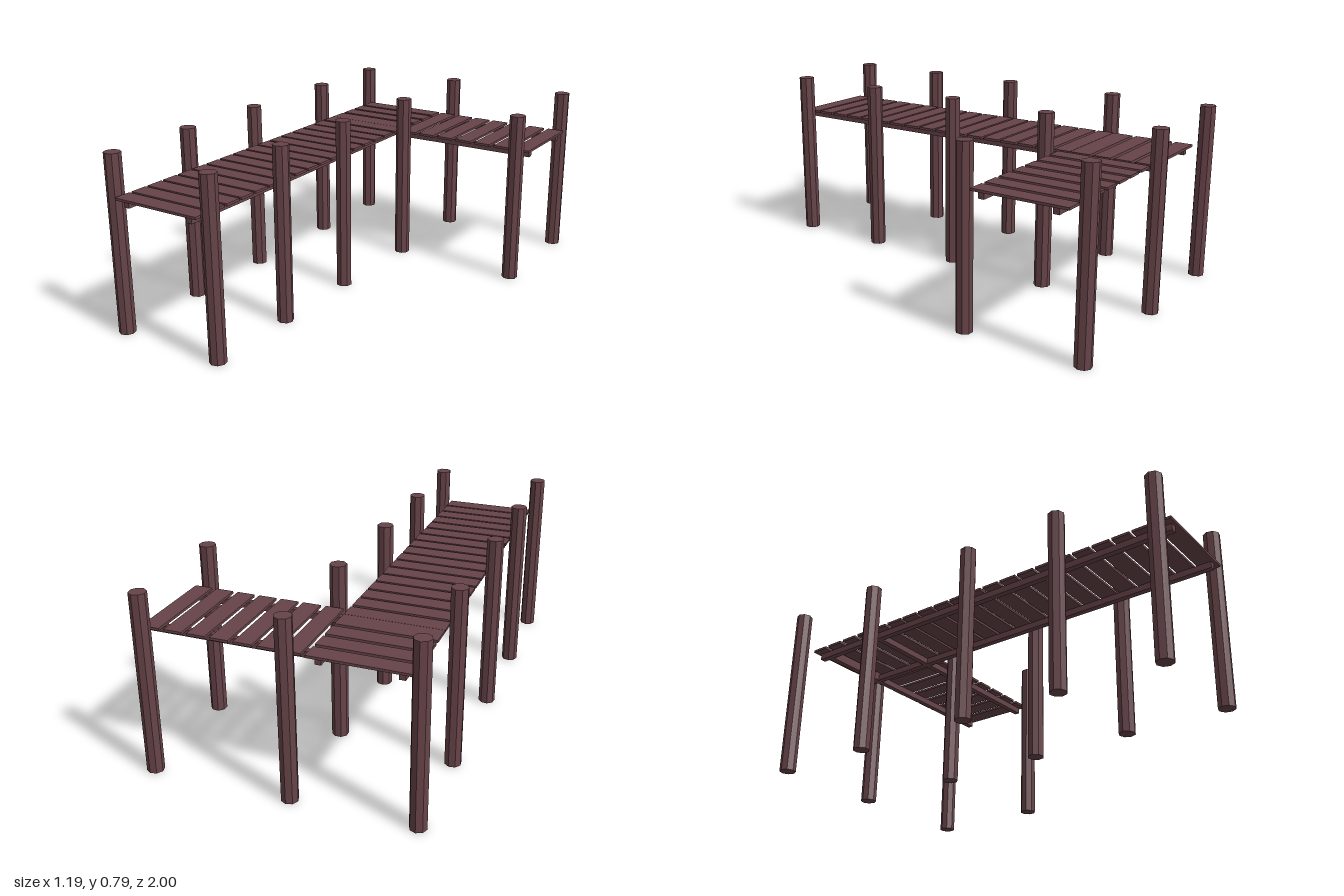
import * as THREE from 'three';

export function createModel() {
  const dock = new THREE.Group();
  dock.name = 'dock';
  const wood = new THREE.MeshStandardMaterial({ color: 0x674449 });
  wood.name = 'dark wood';
  wood.flatShading = true;

  // Box given by its minimum and maximum on each axis
  function board(name, x0, x1, y0, y1, z0, z1) {
    const mesh = new THREE.Mesh(new THREE.BoxGeometry(x1 - x0, y1 - y0, z1 - z0), wood);
    mesh.position.set((x0 + x1) / 2, (y0 + y1) / 2, (z0 + z1) / 2);
    mesh.name = name;
    dock.add(mesh);
  }

  const deckLow = 0.603, deckTop = 0.614, beamLow = 0.575;

  // Long walkway: planks across x, closer together past the corner
  for (let i = 0; i < 21; i++) {
    const z = i < 5 ? -0.914 + i * 0.0955 : -0.438 + (i - 5) * 0.0906;
    board('walkwayPlank', -0.52, -0.1, deckLow, deckTop, z, z + (i === 3 ? 0.094 : 0.078));
  }
  // Side platform: planks along z
  for (let i = 0; i < 7; i++) {
    const x = -0.081 + i * 0.0997;
    board('platformPlank', x, x + 0.078, deckLow, deckTop, -0.908, -0.486);
  }

  // Beams below the planks
  for (const x of [-0.473, -0.146]) board('walkwayBeam', x - 0.013, x + 0.013, beamLow, deckLow, -0.9, 0.985);
  for (const z of [-0.85, -0.53]) board('platformBeam', -0.486, 0.585, beamLow, deckLow, z - 0.013, z + 0.013);

  // Eight-sided posts, each turned a little differently
  const posts = [
    [-0.563, -0.957], [-0.043, -0.963], [0.555, -0.966],
    [-0.563, -0.497], [-0.043, -0.444], [0.555, -0.434],
    [-0.563, 0.058], [-0.064, 0.056],
    [-0.563, 0.513], [-0.064, 0.513],
    [-0.558, 0.957], [-0.064, 0.956],
  ];
  const postShape = new THREE.CylinderGeometry(0.036, 0.036, 0.787, 8);
  posts.forEach(([x, z], i) => {
    const post = new THREE.Mesh(postShape, wood);
    post.position.set(x, 0.3935, z);
    post.rotation.y = i * 0.7;
    post.name = 'post';
    dock.add(post);
  });

  return dock;
}
